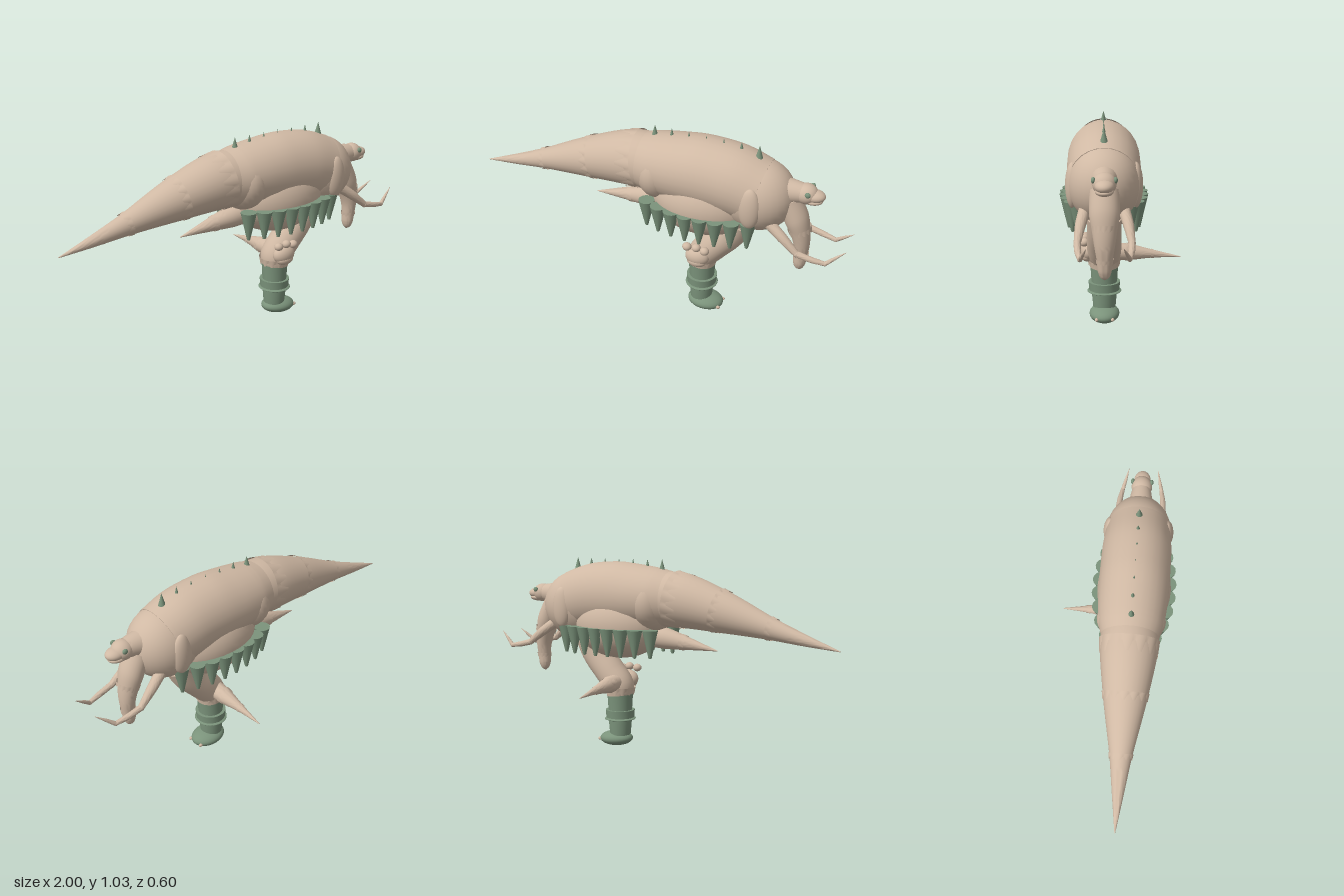
import * as THREE from 'three';
import { toCreasedNormals } from 'three/addons/utils/BufferGeometryUtils.js';

const V = (x, y, z) => new THREE.Vector3(x, y, z);

// Smooth tapered solid through points [x, y, z, radius, optional z radius].
function limbGeometry(pts, steps, sides = 28) {
  const path = new THREE.CatmullRomCurve3(pts.map(p => V(p[0], p[1], p[2])));
  const radii = new THREE.CatmullRomCurve3(pts.map(p => V(p[3], p[4] ?? p[3], 0)));
  const dir = path.getPoint(1).sub(path.getPoint(0)).normalize();
  const ref = Math.abs(dir.z) > 0.8 ? V(0, 1, 0) : V(0, 0, 1);
  const pos = [], idx = [];
  for (let i = -1; i <= steps + 1; i++) {
    const t = Math.min(Math.max(i / steps, 0), 1), capped = i < 0 || i > steps;
    const c = path.getPoint(t), T = path.getTangent(t), r = radii.getPoint(t);
    const B = T.clone().cross(ref).normalize(), N = B.clone().cross(T);
    for (let j = 0; j <= sides; j++) {
      const a = j / sides * Math.PI * 2, k = capped ? 0 : 1;
      const p = c.clone().addScaledVector(N, Math.cos(a) * Math.max(r.y, 0) * k)
        .addScaledVector(B, Math.sin(a) * Math.max(r.x, 0) * k);
      pos.push(p.x, p.y, p.z);
    }
  }
  const w = sides + 1;
  for (let i = 0; i < steps + 2; i++) for (let j = 0; j < sides; j++) {
    const a = i * w + j, b = a + 1, c = a + w, d = c + 1;
    idx.push(a, b, c, b, d, c);
  }
  const g = new THREE.BufferGeometry();
  g.setAttribute('position', new THREE.Float32BufferAttribute(pos, 3));
  g.setIndex(idx);
  return toCreasedNormals(g, 0.8);
}

export function createModel() {
  const skin = new THREE.MeshStandardMaterial({ color: 0xd0b9a4, side: THREE.DoubleSide });
  skin.name = 'tan skin';
  const green = new THREE.MeshStandardMaterial({ color: 0x7b937b });
  green.name = 'sage green';

  const model = new THREE.Group();
  model.name = 'creature';
  const root = new THREE.Group();
  root.name = 'creatureBody';
  root.position.z = 0.085;
  model.add(root);

  const add = (name, geo, mat = skin, p = [0, 0, 0]) => {
    const m = new THREE.Mesh(geo, mat);
    m.name = name;
    m.position.set(...p);
    root.add(m);
    return m;
  };
  const limb = (name, pts, mat = skin, steps = 24) => add(name, limbGeometry(pts, steps), mat);
  const ball = (name, p, s, mat = skin) => {
    const m = add(name, new THREE.SphereGeometry(1, 32, 20), mat, p);
    m.scale.set(...s);
    return m;
  };
  // Thin collar with a toothed edge, pointing along dir.
  const collar = (name, p, dir, r0, r1, len, tooth, teeth = 14) => {
    const g = new THREE.CylinderGeometry(r1, r0, len, teeth * 4, 1, true);
    const a = g.attributes.position;
    for (let i = 0; i <= teeth * 4; i++) if (i % 4 < 2) a.setY(i, a.getY(i) - tooth);
    g.computeVertexNormals();
    const m = add(name, g, skin, p);
    m.quaternion.setFromUnitVectors(V(0, 1, 0), V(...dir).normalize());
  };

  // Torso
  limb('torso', [
    [-0.08, 0.83, 0, 0.142], [0, 0.832, 0, 0.158, 0.163], [0.12, 0.835, 0, 0.172, 0.174],
    [0.26, 0.836, 0, 0.183, 0.177], [0.4, 0.825, 0, 0.182, 0.176], [0.54, 0.79, 0, 0.17, 0.165]], skin, 32);
  ball('rump', [0.02, 0.815, 0], [0.12, 0.16, 0.172]);
  ball('belly', [0.25, 0.685, 0], [0.27, 0.188, 0.19]);
  ball('chest', [0.525, 0.775, 0], [0.192, 0.185, 0.168]);

  // Tail with toothed collars
  limb('tail', [[-1, 0.62, 0, 0.002], [-0.82, 0.662, 0, 0.029], [-0.65, 0.705, 0, 0.054],
    [-0.37, 0.778, 0, 0.109], [-0.12, 0.828, 0, 0.144], [0.02, 0.83, 0, 0.145]], skin, 40);
  collar('tailTipCollar', [-0.645, 0.707, 0], [-1, -0.25, 0], 0.062, 0.058, 0.03, 0.015, 10);
  collar('tailMiddleCollar', [-0.365, 0.78, 0], [-1, -0.24, 0], 0.117, 0.111, 0.04, 0.025);
  collar('tailBaseCollar', [-0.13, 0.826, 0], [-1, -0.15, 0], 0.15, 0.144, 0.08, 0.05);

  // Small horn below the tail
  limb('rearHorn', [[0.1, 0.635, 0, 0.062], [-0.04, 0.62, 0, 0.056],
    [-0.15, 0.605, 0, 0.038], [-0.345, 0.575, 0, 0.002]]);
  collar('rearHornCollar', [-0.15, 0.605, 0], [-1, -0.15, 0], 0.043, 0.039, 0.03, 0.012, 8);

  // Spikes along the back
  for (let i = 0; i < 7; i++) {
    const x = -0.015 + i * 0.0895, e = Math.abs(i - 3) / 3, h = 0.045 + 0.03 * e;
    add('backSpike', new THREE.ConeGeometry(0.007 + 0.014 * e, h, 16), green, [x, 1.036 - h / 2, 0]);
  }

  // Skirt of downward cones, shoulders and arms on both sides
  for (const s of [1, -1]) {
    for (let i = 0; i < 8; i++) {
      const x = -0.012 + i * 0.076, z = 0.177 * Math.sqrt(1 - ((x - 0.255) / 0.36) ** 2);
      add('skirtCone', new THREE.CylinderGeometry(0.042, 0.008, 0.148, 14), green, [x, 0.598, s * z]);
    }
    ball('shoulder', [0.53, 0.77, s * 0.145], [0.055, 0.11, 0.036]);
    limb('upperArm', [[0.62, 0.675, s * 0.09, 0.028], [0.69, 0.625, s * 0.108, 0.025],
      [0.77, 0.56, s * 0.122, 0.016]], skin, 12);
    ball('elbow', [0.77, 0.56, s * 0.122], [0.017, 0.017, 0.017]);
    limb('forearm', [[0.77, 0.56, s * 0.122, 0.016], [0.84, 0.543, s * 0.118, 0.015],
      [0.91, 0.53, s * 0.108, 0.011]], skin, 12);
    ball('wrist', [0.91, 0.53, s * 0.108], [0.0115, 0.0115, 0.0115]);
    limb('claw', [[0.91, 0.53, s * 0.108, 0.011], [0.95, 0.563, s * 0.095, 0.008],
      [1, 0.603, s * 0.08, 0.001]], skin, 10);
    ball('eye', [0.782, 0.85, s * 0.049], [0.014, 0.014, 0.01], green);
    ball('toeStud', [0.358, 0.038, s * 0.04], [0.012, 0.009, 0.009]);
  }

  // Head
  limb('neck', [[0.62, 0.82, 0, 0.075], [0.7, 0.828, 0, 0.058], [0.76, 0.83, 0, 0.046]], skin, 12);
  ball('skull', [0.765, 0.83, 0], [0.057, 0.051, 0.054]);
  ball('snout', [0.803, 0.826, 0], [0.055, 0.03, 0.043]);
  ball('jaw', [0.795, 0.802, 0], [0.053, 0.02, 0.041]);

  // Hanging limb at the throat
  limb('throatLimb', [[0.68, 0.78, 0, 0.06, 0.068], [0.725, 0.69, 0, 0.06, 0.069],
    [0.752, 0.61, 0, 0.049, 0.057], [0.765, 0.54, 0, 0.04, 0.046], [0.765, 0.47, 0, 0.033, 0.034]]);
  limb('throatLimbTip', [[0.765, 0.48, 0, 0.035], [0.762, 0.43, 0, 0.032],
    [0.76, 0.4, 0, 0.022], [0.758, 0.385, 0, 0.003]], skin, 14);
  collar('throatUpperCollar', [0.751, 0.618, 0], [0.3, -1, 0], 0.06, 0.056, 0.03, 0.01);
  collar('throatLowerCollar', [0.765, 0.475, 0], [0, -1, 0], 0.04, 0.038, 0.022, 0.008, 10);

  // Leg
  limb('leg', [[0.44, 0.6, 0, 0.085], [0.395, 0.51, 0, 0.083], [0.31, 0.41, 0, 0.082, 0.086],
    [0.255, 0.34, 0, 0.08, 0.083], [0.25, 0.29, 0, 0.072, 0.074]], skin, 28);
  collar('legCuff', [0.25, 0.315, 0], [0, -1, 0], 0.085, 0.079, 0.04, 0.02, 12);

  // Knee pad with three bumps
  ball('kneePad', [0.25, 0.37, 0.078], [0.064, 0.05, 0.042]);
  ball('kneePadRoll', [0.25, 0.345, 0.085], [0.052, 0.03, 0.034]);
  [[0.2, 0.43], [0.25, 0.435], [0.295, 0.425]].forEach(([x, y]) =>
    ball('kneeBump', [x, y, 0.098], [0.024, 0.021, 0.023]));

  // Sideways thorn behind the knee
  limb('kneeThorn', [[0.25, 0.365, -0.04, 0.046], [0.25, 0.36, -0.12, 0.042],
    [0.25, 0.35, -0.245, 0.02], [0.25, 0.333, -0.385, 0.002]]);
  collar('thornBaseCollar', [0.25, 0.36, -0.125], [0, -0.06, -1], 0.046, 0.042, 0.03, 0.015, 8);
  collar('thornTipCollar', [0.25, 0.35, -0.245], [0, -0.08, -1], 0.024, 0.021, 0.02, 0.008, 8);

  // Boot
  const boot = [[0, 0.305], [0.071, 0.305], [0.065, 0.208], [0.08, 0.208], [0.077, 0.166],
    [0.064, 0.166], [0.064, 0.15], [0.056, 0.06], [0, 0.06]].reverse();
  add('bootShaft', toCreasedNormals(new THREE.LatheGeometry(
    boot.map(p => new THREE.Vector2(...p)), 32), 0.7), green, [0.25, 0, 0]);
  ball('bootRing', [0.25, 0.158, 0], [0.085, 0.01, 0.087], green);
  ball('foot', [0.275, 0.045, 0], [0.096, 0.041, 0.076], green).rotation.z = -0.05;

  return model;
}
